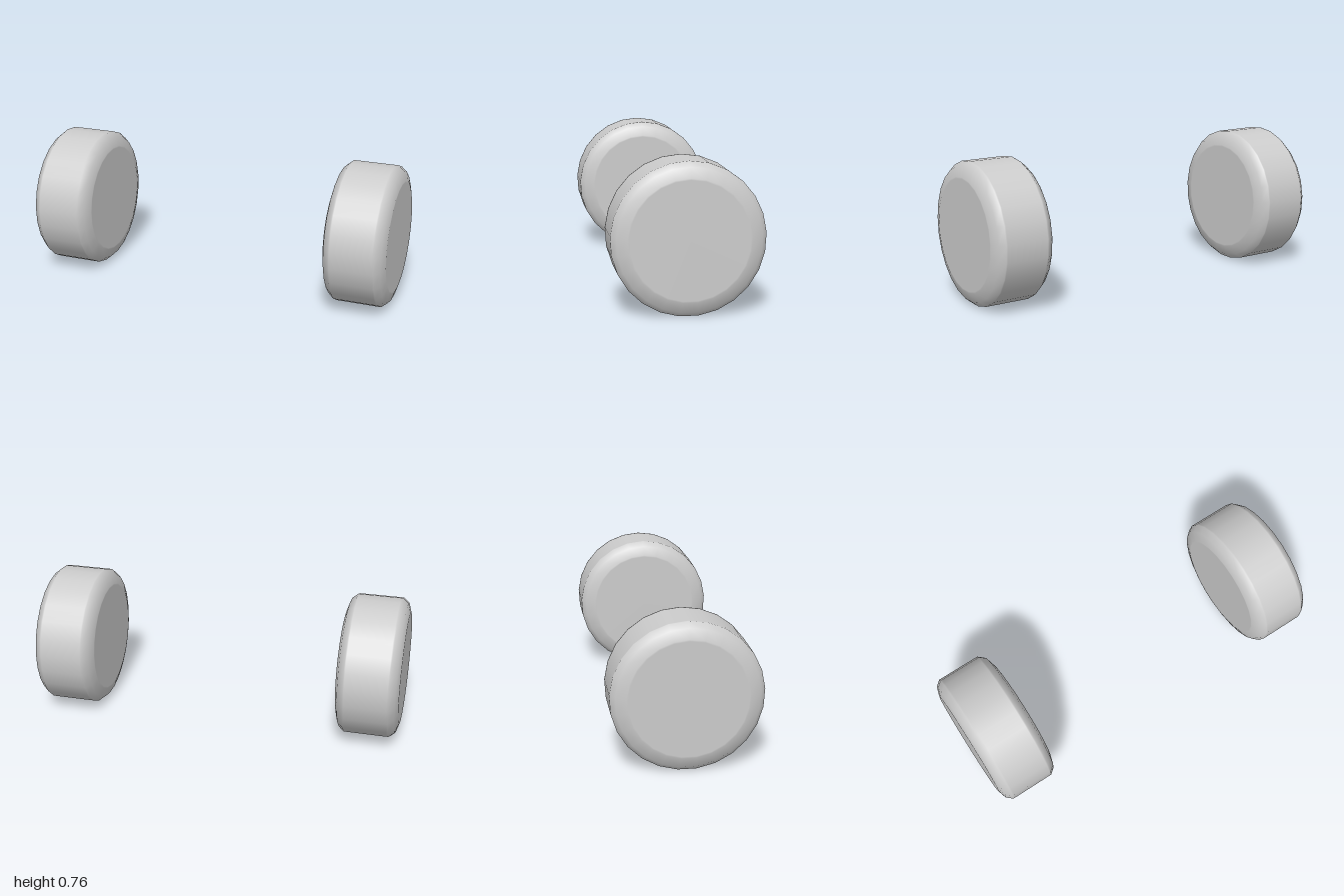
import * as THREE from 'three';

const SIDES = 25;
const RADIUS = 0.38;
const HALF_WIDTH = 0.167;

export function createModel() {
  const model = new THREE.Group();
  model.name = 'wheelPair';

  const grey = new THREE.MeshStandardMaterial({ color: 0xcccccc });
  grey.name = 'light grey';

  // Half profile from cap centre to tread: [radius, inset from the cap];
  // close point pairs keep the cap and the tread flat beside the round edge
  const half = [[0, 0], [0.294, 0], [0.302, 0], [0.354, 0.016], [RADIUS, 0.047], [RADIUS, 0.055]];
  const lower = half.map(([r, d]) => new THREE.Vector2(r, d - HALF_WIDTH));
  const upper = half.map(([r, d]) => new THREE.Vector2(r, HALF_WIDTH - d)).reverse();

  // Wheel with its axle along x and one corner at the top
  const geometry = new THREE.LatheGeometry([...lower, ...upper], SIDES, Math.PI / 2);
  geometry.rotateZ(Math.PI / 2);

  const centreY = RADIUS * Math.cos(Math.PI / SIDES);
  for (const [name, side] of [['leftWheel', 1], ['rightWheel', -1]]) {
    const wheel = new THREE.Mesh(geometry, grey);
    wheel.name = name;
    wheel.position.set(side * (1 - HALF_WIDTH), centreY, 0);
    model.add(wheel);
  }
  return model;
}
